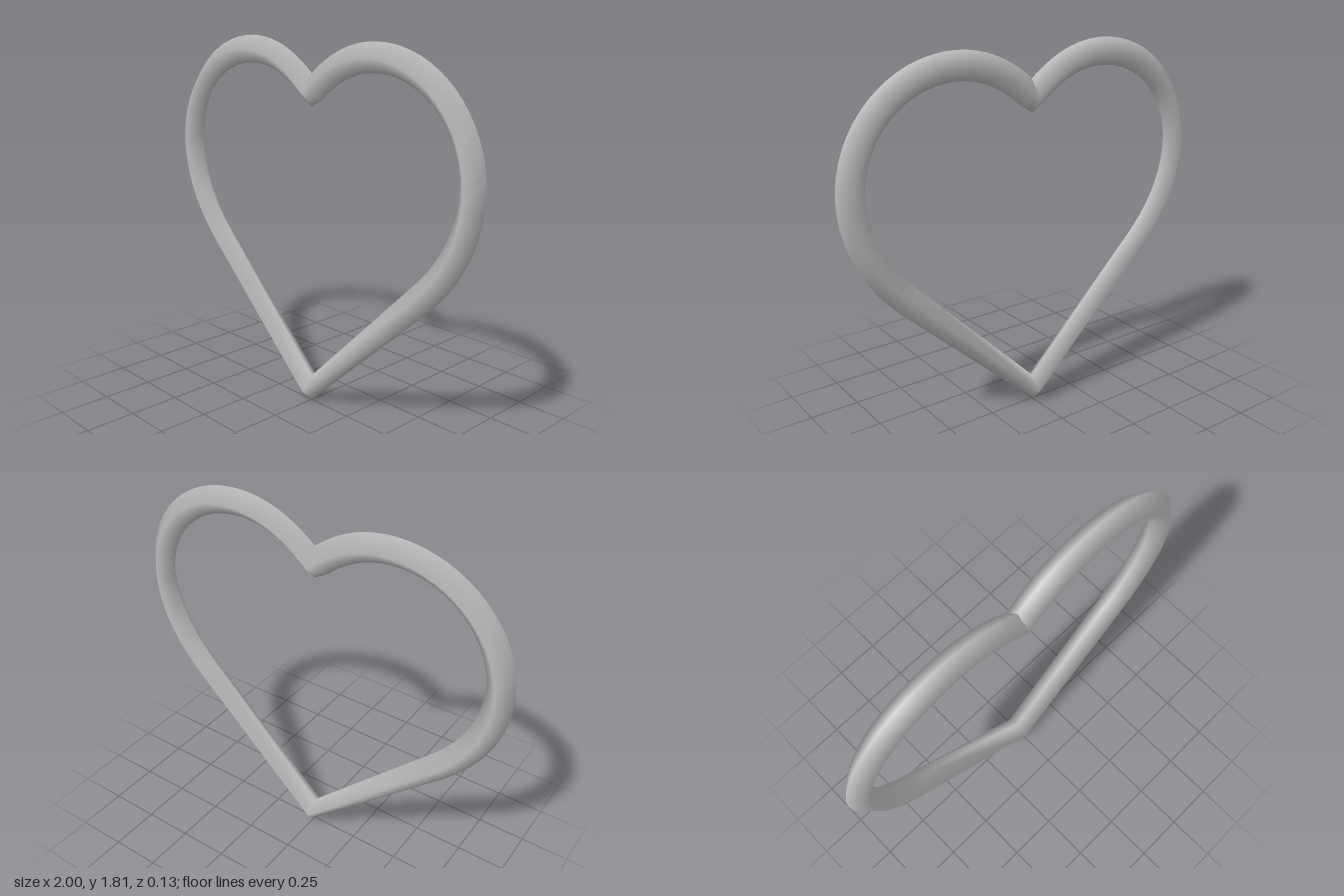
import * as THREE from 'three';

const RADIUS = 0.067;
const SIDES = 4;
const STEPS = 16;

// Right half of the heart's centre line, from the bottom tip up to the dip
function halfPath() {
  const v = (x, y) => new THREE.Vector2(x, y);
  const curves = [
    new THREE.CubicBezierCurve(v(0.67, 0.71), v(0.83, 0.86), v(0.932, 1.04), v(0.932, 1.24)),
    new THREE.CubicBezierCurve(v(0.932, 1.24), v(0.932, 1.52), v(0.70, 1.748), v(0.41, 1.748)),
    new THREE.CubicBezierCurve(v(0.41, 1.748), v(0.25, 1.748), v(0.12, 1.68), v(0, 1.567)),
  ];
  const points = [v(0, 0.067)];
  curves.forEach((c, i) => points.push(...c.getPoints(STEPS).slice(i ? 1 : 0)));
  return points;
}

// Closed tube of diamond section, with smooth normals around each ring
function sweepLoop(path) {
  const count = path.length;
  const positions = [], normals = [], index = [];
  for (let i = 0; i < count; i++) {
    const p = path[i];
    const before = p.clone().sub(path[(i + count - 1) % count]).normalize();
    const after = path[(i + 1) % count].clone().sub(p).normalize();
    const t = before.add(after).normalize();
    for (let j = 0; j < SIDES; j++) {
      const a = (j / SIDES) * Math.PI * 2;
      const n = [t.y * Math.cos(a), -t.x * Math.cos(a), Math.sin(a)];
      normals.push(...n);
      positions.push(p.x + n[0] * RADIUS, p.y + n[1] * RADIUS, n[2] * RADIUS);

      const next = (i + 1) % count, k = (j + 1) % SIDES;
      const A = i * SIDES + j, B = next * SIDES + j;
      const C = next * SIDES + k, D = i * SIDES + k;
      index.push(A, B, D, B, C, D);
    }
  }
  const geometry = new THREE.BufferGeometry();
  geometry.setAttribute('position', new THREE.Float32BufferAttribute(positions, 3));
  geometry.setAttribute('normal', new THREE.Float32BufferAttribute(normals, 3));
  geometry.setIndex(index);
  return geometry;
}

export function createModel() {
  const grey = new THREE.MeshStandardMaterial({ color: 0xbcbcbc });
  grey.name = 'light grey';

  // Mirror the half path to close the heart
  const right = halfPath();
  const left = right.slice(1, -1).reverse().map((p) => new THREE.Vector2(-p.x, p.y));

  const heart = new THREE.Mesh(sweepLoop([...right, ...left]), grey);
  heart.name = 'heartRing';

  const group = new THREE.Group();
  group.name = 'heartOutline';
  group.add(heart);
  return group;
}
